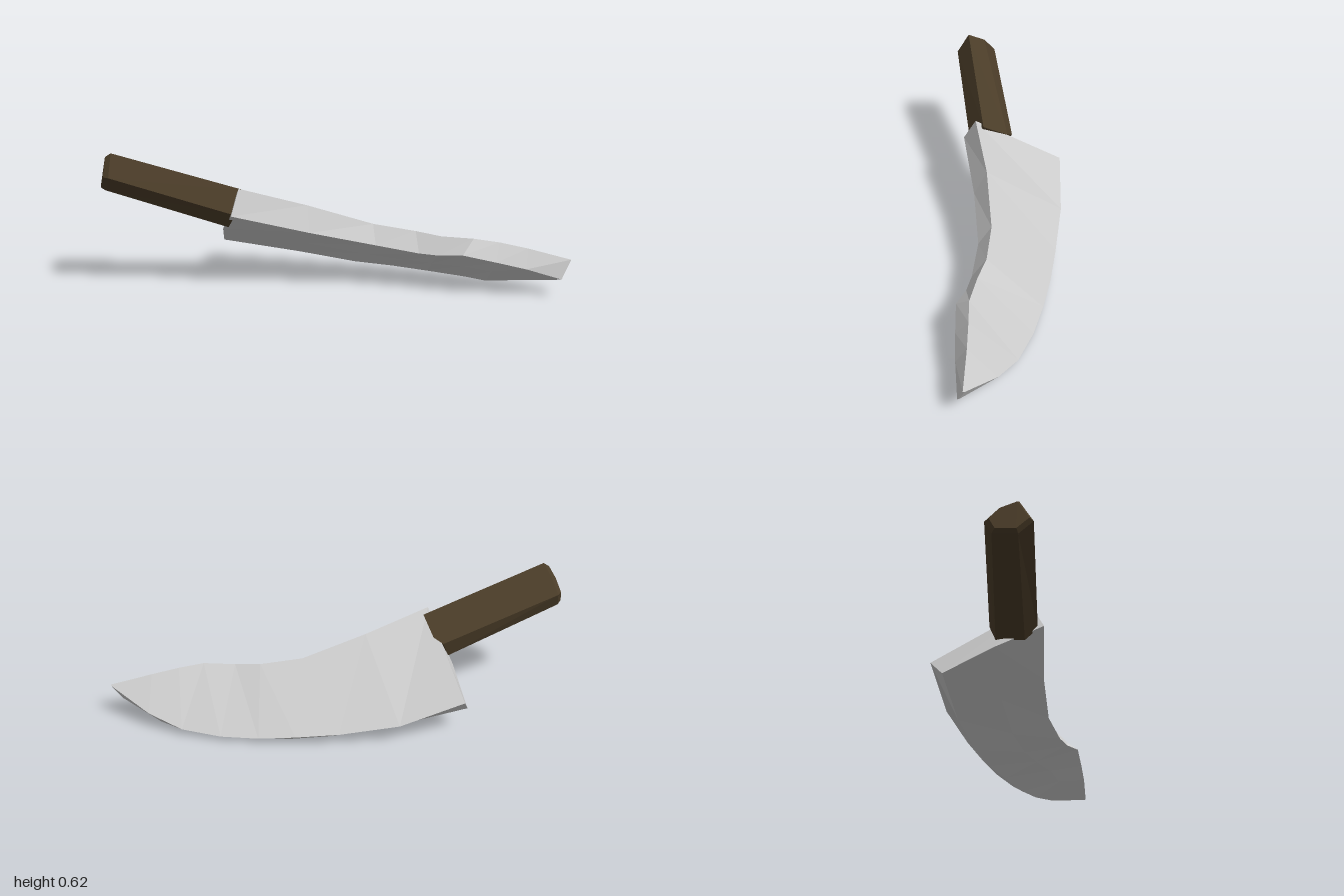
import * as THREE from 'three';

// Joins matching rings of points (running along +x) into a closed, faceted solid.
function loft(rings) {
  const pos = [];
  const tri = (a, b, c) => pos.push(...a, ...b, ...c);
  const n = rings[0].length;
  for (let i = 0; i < rings.length - 1; i++) {
    for (let j = 0; j < n; j++) {
      const k = (j + 1) % n;
      const a = rings[i][j], b = rings[i][k], c = rings[i + 1][k], d = rings[i + 1][j];
      tri(a, d, c);
      tri(a, c, b);
    }
  }
  const first = rings[0], last = rings[rings.length - 1];
  for (let j = 1; j < n - 1; j++) {
    tri(first[0], first[j], first[j + 1]);
    tri(last[0], last[j + 1], last[j]);
  }
  const g = new THREE.BufferGeometry();
  g.setAttribute('position', new THREE.Float32BufferAttribute(pos, 3));
  g.computeVertexNormals();
  return g;
}

function part(name, rings, color) {
  const mesh = new THREE.Mesh(loft(rings),
    new THREE.MeshStandardMaterial({ color, flatShading: true }));
  mesh.name = name;
  return mesh;
}

// The four long edges of the blade, from heel to tip.
const spineTop = [[-.41, .46, .03], [-.11, .375, .04], [.18, .287, .08], [.36, .262, .14],
  [.46, .25, .2], [.59, .25, .26], [.7, .235, .285], [.82, .21, .315], [1, .165, .367]];
const cuttingTop = [[-.41, .19, -.385], [-.13, .095, -.32], [.12, .055, -.23], [.3, .04, -.16],
  [.45, .026, -.09], [.6, .023, -.01], [.75, .035, .09], [.87, .08, .2], [.998, .16, .36]];
const cuttingBottom = [[-.45, .125, -.335], [-.1, .068, -.27], [.15, .03, -.19], [.32, .018, -.13],
  [.46, .012, -.05], [.62, .003, .04], [.7, .001, .11], [.82, .027, .2], [.953, .079, .375]];
const spineBottom = [[-.45, .35, .08], [-.11, .265, .1], [.18, .205, .14], [.36, .178, .205],
  [.44, .176, .245], [.53, .19, .305], [.67, .16, .335], [.8, .13, .36], [.955, .082, .382]];

function createBlade() {
  const rings = spineTop.map((top, i) => {
    const low = cuttingBottom[i], high = spineBottom[i];
    const middle = low.map((v, k) => (v + high[k]) / 2);
    if (i === 0) middle[0] -= 0.02; // heel bulges slightly
    return [top, cuttingTop[i], low, middle, high];
  });
  return part('blade', rings, 0xcccccc);
}

// Six-sided grip, tapering into a chamfered butt.
function createHandle() {
  const butt = [[-.95, .622, -.045], [-.95, .585, -.125], [-.96, .52, -.178],
    [-.98, .455, -.15], [-.98, .458, -.05], [-.965, .525, .01]];
  const neck = [[-.375, .443, 0], [-.375, .385, -.115], [-.41, .36, -.145],
    [-.45, .28, -.12], [-.455, .28, 0], [-.43, .347, .055]];
  const centre = [0, 1, 2].map(k => butt.reduce((s, p) => s + p[k], 0) / butt.length);
  const cap = butt.map(p => p.map((v, k) => centre[k] + (v - centre[k]) * 0.82 - (k === 0 ? 0.023 : 0)));
  return part('handle', [cap, butt, neck], 0x4a3c28);
}

export function createModel() {
  const group = new THREE.Group();
  group.name = 'knife';
  group.add(createBlade(), createHandle());
  return group;
}
